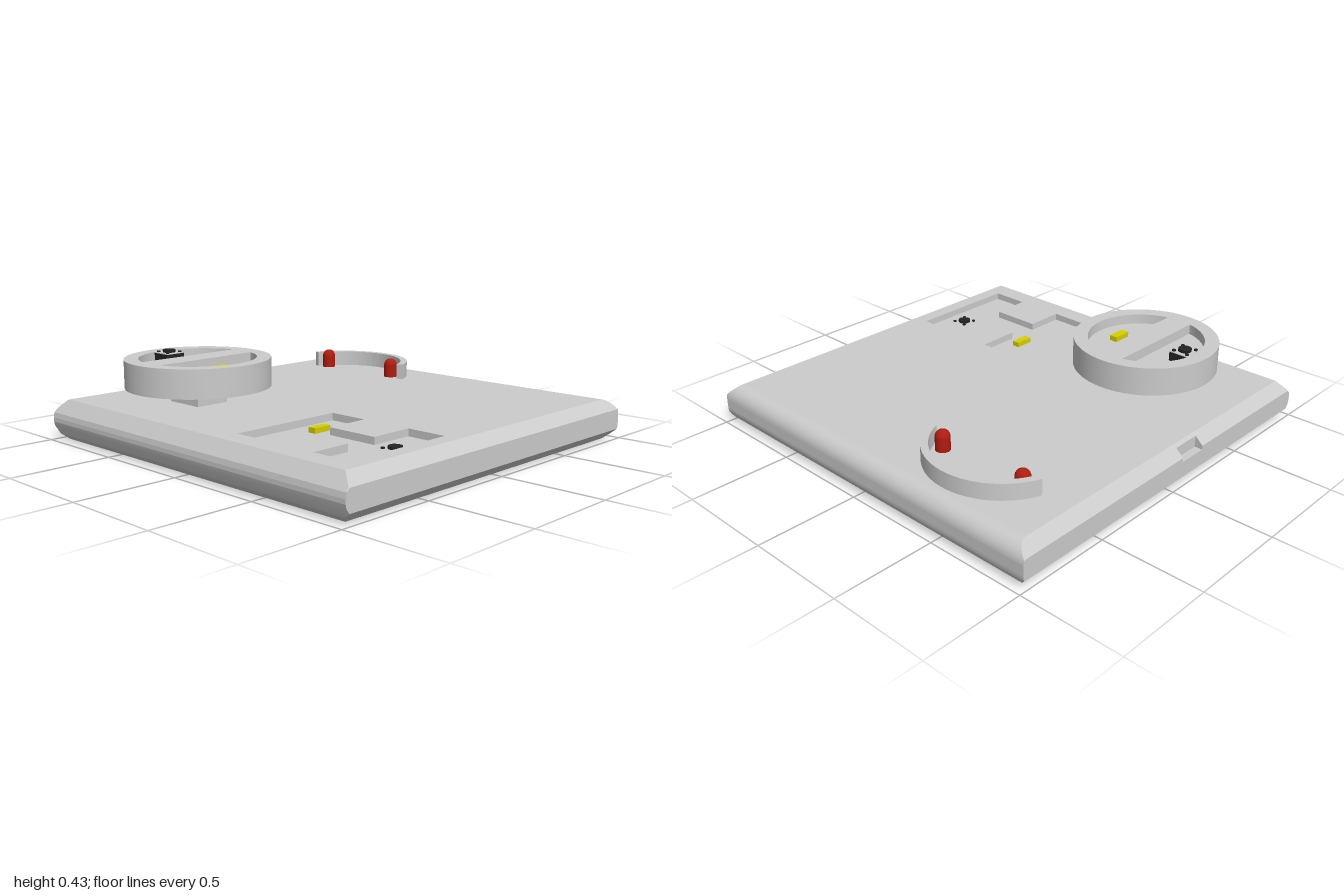
import * as THREE from 'three';
import { toCreasedNormals } from 'three/addons/utils/BufferGeometryUtils.js';

const material = (color, side = THREE.FrontSide) =>
  new THREE.MeshStandardMaterial({ color, side });
const grey = material(0xcccccc);
const greyThin = material(0xcccccc, THREE.DoubleSide);
const red = material(0xb01c10);
const yellow = material(0xd8d000);
const black = material(0x222222);

function add(parent, name, geometry, mat, x = 0, y = 0, z = 0) {
  const mesh = new THREE.Mesh(geometry, mat);
  mesh.name = name;
  mesh.position.set(x, y, z);
  parent.add(mesh);
  return mesh;
}

// Upright slab from a plan shape (shape y = -z)
function slab(shape, height) {
  const g = new THREE.ExtrudeGeometry(shape, { depth: height, bevelEnabled: false, curveSegments: 48 });
  g.rotateX(-Math.PI / 2);
  return toCreasedNormals(g, 0.4);
}

const polygon = (pts) => new THREE.Shape(pts.map(([x, y]) => new THREE.Vector2(x, y)));

// Chamfered outline of the base, limited to heights a..b
const TOP = 0.2, CHAMFER = 0.05, INSET = 0.055;
function outline(a, b) {
  const w = (y) => 1 - INSET * Math.max(0, 1 - Math.min(y, TOP - y) / CHAMFER);
  const ys = [b, TOP - CHAMFER, CHAMFER, a].map((y) => Math.min(b, Math.max(a, y)));
  const left = ys.map((y) => [-w(y), y]);
  const right = ys.map((y) => [w(y), y]).reverse();
  return [right[3], ...left, ...right.slice(0, 3)];
}

// Skin through outlines placed along z; firstEdge 1 leaves the top open
function loft(sections, firstEdge = 0) {
  const pos = [];
  for (let s = 0; s < sections.length - 1; s++) {
    const A = sections[s], B = sections[s + 1], n = A.pts.length;
    for (let i = firstEdge; i < n; i++) {
      const j = (i + 1) % n;
      const a0 = [...A.pts[i], A.z], a1 = [...A.pts[j], A.z];
      const b0 = [...B.pts[i], B.z], b1 = [...B.pts[j], B.z];
      pos.push(...b0, ...a0, ...a1, ...b0, ...a1, ...b1);
    }
  }
  const g = new THREE.BufferGeometry();
  g.setAttribute('position', new THREE.Float32BufferAttribute(pos, 3));
  return toCreasedNormals(g, 0.2);
}

function makeBase() {
  const base = new THREE.Group();
  base.name = 'base';
  const full = outline(0, TOP);
  const zBack = -0.905, zFront = 0.925, n0 = 0.06, n1 = 0.21;

  // Rounded rear edge
  const r = 0.075, rear = [];
  for (let i = 0; i <= 10; i++) {
    const t = (1 - i / 10) * Math.PI / 2;
    const d = r * (1 - Math.cos(t));
    rear.push({ z: zBack - r * Math.sin(t), pts: outline(d, TOP - d) });
  }
  add(base, 'rearEdge', loft(rear), grey);
  add(base, 'rearFace', new THREE.PlaneGeometry(2, 0.05).rotateY(Math.PI), grey, 0, 0.1, zBack - r);

  // Faceted front edge
  const front = [[zFront, 0, TOP], [0.96, 0.03, 0.155], [0.975, 0.07, 0.135], [0.98, 0.09, 0.11]];
  add(base, 'frontEdge', loft(front.map(([z, a, b]) => ({ z, pts: outline(a, b) }))), grey);
  add(base, 'frontFace', new THREE.PlaneGeometry(2, 0.02), grey, 0, 0.1, 0.98);

  // Sides and underside, with a port notch in the right side
  const notched = [full[0], full[1], [-0.96, 0.186], [-0.96, 0.13], [-1, 0.13], ...full.slice(3)];
  for (const [za, zb, pts] of [[zBack, n0, full], [n0, n1, notched], [n1, zFront, full]]) {
    add(base, 'sides', loft([{ z: za, pts }, { z: zb, pts }], 1), grey);
  }
  const cheek = polygon([[-0.96, 0.186], [-1, 0.15], [-1, 0.13], [-0.96, 0.13]]);
  for (const z of [n0, n1]) add(base, 'notchCheek', new THREE.ShapeGeometry(cheek), greyThin, 0, 0, z);

  // Top plate with an H-shaped recess
  const floorY = 0.165, hw = 1 - INSET;
  const top = polygon([[-hw, -zFront], [hw, -zFront], [hw, -zBack], [-hw, -zBack]]);
  top.holes.push(polygon([
    [0.21, -0.24], [0.41, -0.24], [0.41, -0.46], [0.67, -0.46], [0.67, -0.24], [0.87, -0.24],
    [0.87, -0.82], [0.67, -0.82], [0.67, -0.62], [0.41, -0.62], [0.41, -0.82], [0.21, -0.82],
  ]));
  add(base, 'topPlate', slab(top, TOP - floorY), grey, 0, floorY, 0);
  add(base, 'recessFloor', new THREE.BoxGeometry(0.7, 0.02, 0.62), grey, 0.54, floorY - 0.01, 0.53);
  return base;
}

// Push switch with a metal plate, four rivets and a round button
function makeSwitch(x, plateTop, z) {
  const sw = new THREE.Group();
  sw.name = 'pushSwitch';
  add(sw, 'switchBody', new THREE.BoxGeometry(0.105, 0.045, 0.105), black, 0, -0.0265, 0);
  add(sw, 'switchPlate', new THREE.BoxGeometry(0.105, 0.004, 0.105), grey, 0, -0.002, 0);
  add(sw, 'switchButton', new THREE.CylinderGeometry(0.032, 0.032, 0.014, 24), black, 0, 0.006, 0);
  for (const sx of [-1, 1]) for (const sz of [-1, 1]) {
    add(sw, 'switchRivet', new THREE.CylinderGeometry(0.009, 0.009, 0.008, 12), black, sx * 0.037, 0.003, sz * 0.037);
  }
  sw.position.set(x, plateTop, z);
  return sw;
}

function makeDial() {
  const dial = new THREE.Group();
  dial.name = 'dial';
  const R = 0.355, r = 0.285, t = Math.acos(0.068 / r);
  const rim = new THREE.Shape().absarc(0, 0, R, 0, Math.PI * 2, false);
  for (const c of [0, Math.PI]) {
    const pocket = new THREE.Path().absarc(0, 0, r, c - t, c + t, false);
    pocket.closePath();
    rim.holes.push(pocket);
  }
  add(dial, 'dialRim', slab(rim, 0.05), grey, 0, 0.37, 0);
  add(dial, 'dialBody', new THREE.CylinderGeometry(R, R, 0.09, 96), grey, 0, 0.325, 0);
  add(dial, 'dialPost', new THREE.BoxGeometry(0.21, 0.1, 0.18), grey, 0, 0.235, 0);
  add(dial, 'dialChip', new THREE.BoxGeometry(0.042, 0.025, 0.095), yellow, 0.157, 0.3825, -0.01);
  dial.add(makeSwitch(-0.23, 0.42, 0));
  dial.position.set(-0.445, 0, 0.505);
  return dial;
}

function makeLamps() {
  const lamps = new THREE.Group();
  lamps.name = 'lamps';
  // Curved wall behind the lamps
  const R = 0.355, r = 0.32, a = Math.PI / 2 - 1.235, b = Math.PI / 2 + 1.235;
  const arc = new THREE.Shape();
  arc.absarc(0, 0, R, a, b, false);
  arc.absarc(0, 0, r, b, a, true);
  arc.closePath();
  add(lamps, 'curvedWall', slab(arc, 0.08), grey, -0.465, TOP, -0.535);
  // Domed lamps
  const profile = [new THREE.Vector2(0.035, 0)];
  for (let i = 0; i <= 8; i++) {
    const t = i / 8 * Math.PI / 2;
    profile.push(new THREE.Vector2(0.035 * Math.cos(t), 0.065 + 0.035 * Math.sin(t)));
  }
  for (const x of [-0.712, -0.235]) {
    add(lamps, 'lamp', new THREE.LatheGeometry(profile, 24), red, x, TOP, -0.673);
  }
  return lamps;
}

export function createModel() {
  const model = new THREE.Group();
  model.name = 'controlPanel';
  model.add(makeBase(), makeDial(), makeLamps());
  // Parts in the H-shaped recess
  model.add(makeSwitch(0.772, 0.164, 0.443));
  add(model, 'recessChip', new THREE.BoxGeometry(0.04, 0.025, 0.095), yellow, 0.327, 0.1775, 0.443);
  return model;
}
